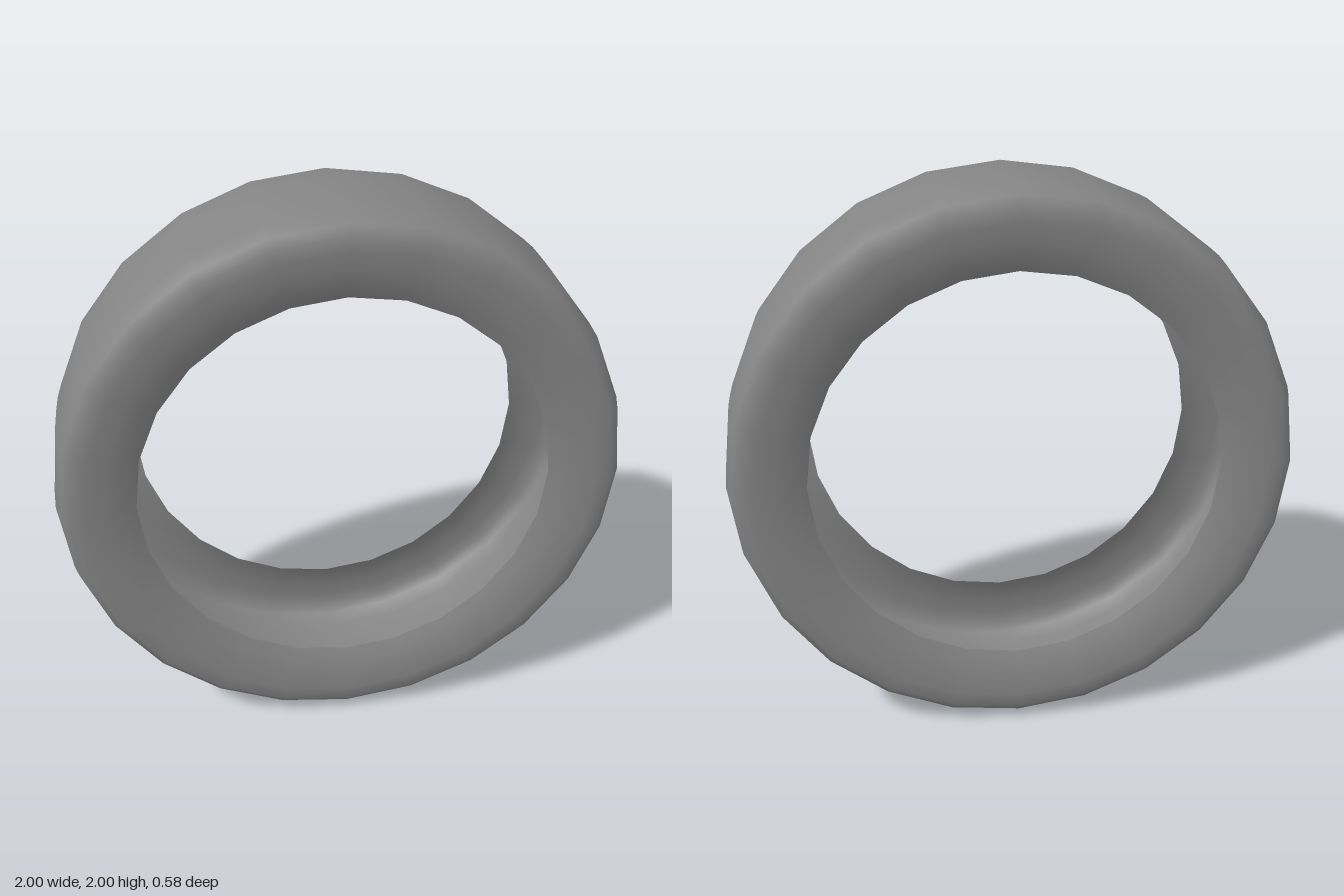
import * as THREE from 'three';

export function createModel() {
  const group = new THREE.Group();

  // Half of the tyre section as [radius, distance from the middle], bead to tread
  const half = [
    [0.722, 0.245], [0.77, 0.268], [0.83, 0.283], [0.89, 0.288], [0.94, 0.287],
    [0.971, 0.262], [0.991, 0.2], [0.999, 0.1],
  ];
  const profile = [
    ...half.map(([r, w]) => new THREE.Vector2(r, -w)),
    new THREE.Vector2(1, 0),
    ...half.map(([r, w]) => new THREE.Vector2(r, w)).reverse(),
  ];

  // Hollow tyre shell, open towards the hub, axle along z
  const geometry = new THREE.LatheGeometry(profile, 24);
  geometry.rotateX(Math.PI / 2);
  const tyre = new THREE.Mesh(
    geometry,
    new THREE.MeshStandardMaterial({ color: 0x848484, side: THREE.DoubleSide })
  );
  tyre.name = 'tyre';
  tyre.position.y = 1;
  group.add(tyre);

  return group;
}
